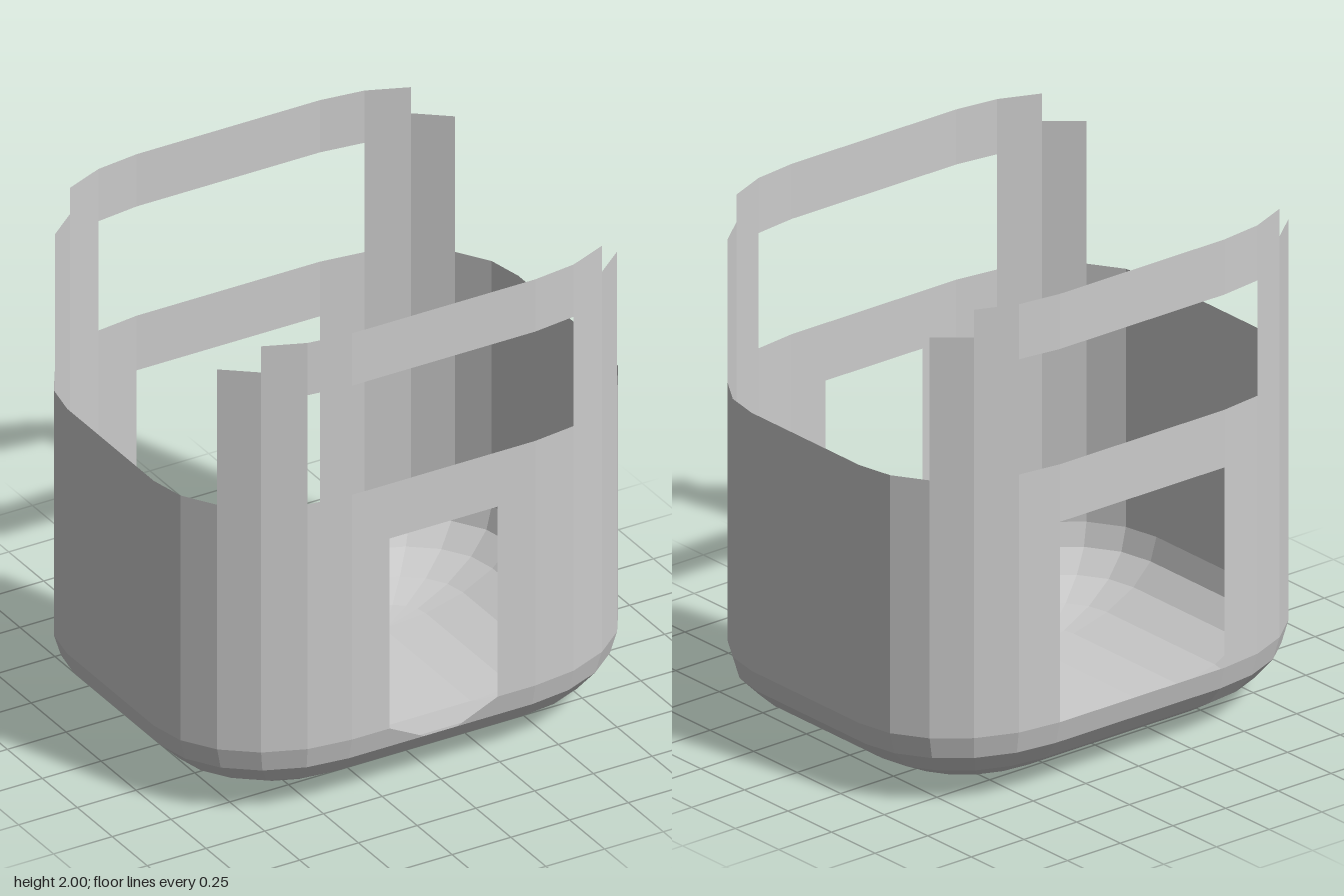
import * as THREE from 'three';

const CX = 0.39, CZ = 0.31;             // centres of the rounded corners
const RX = 0.57, RZ = 0.46, RY = 0.29;  // corner radii
const STEPS = 5;                        // facets per quarter round
const SILL = 1.32, DOOR_TOP = 1.09, DOOR_HALF = 0.23, NOTCH_HALF = 0.07;

// Rounded-rectangle ring, level 0 = full wall outline, level STEPS = floor edge
function ring(level) {
  const t = (level / STEPS) * Math.PI / 2;
  const r = Math.cos(t), y = RY * (1 - Math.sin(t)), points = [];
  for (let corner = 0; corner < 4; corner++) {
    const sx = corner === 0 || corner === 3 ? 1 : -1, sz = corner < 2 ? 1 : -1;
    for (let i = 0; i <= STEPS; i++) {
      const a = (corner + i / STEPS) * Math.PI / 2;
      points.push(new THREE.Vector3(sx * CX + RX * r * Math.cos(a), y, sz * CZ + RZ * r * Math.sin(a)));
    }
  }
  return points;
}

// Collects flat quads (corners counter-clockwise from outside) into one mesh
class Shell {
  constructor(name) { this.name = name; this.data = []; }
  quad(a, b, c, d) {
    for (const p of [a, b, c, a, c, d]) this.data.push(p.x, p.y, p.z);
  }
  // Upright panel between two outline points
  panel(p, q, y0, y1) {
    const at = (v, y) => new THREE.Vector3(v.x, y, v.z);
    this.quad(at(q, y0), at(p, y0), at(p, y1), at(q, y1));
  }
  mesh() {
    const geometry = new THREE.BufferGeometry();
    geometry.setAttribute('position', new THREE.Float32BufferAttribute(this.data, 3));
    geometry.computeVertexNormals();
    const mesh = new THREE.Mesh(geometry, new THREE.MeshStandardMaterial({
      color: 0xcccccc, flatShading: true, side: THREE.DoubleSide,
    }));
    mesh.name = this.name;
    return mesh;
  }
}

export function createModel() {
  const walls = new Shell('lowerWalls');
  const pillars = new Shell('cornerPillars');
  const rails = new Shell('windowTopRails');
  const base = new Shell('roundedBase');
  const floor = new Shell('floor');
  const rings = Array.from({ length: STEPS + 1 }, (_, k) => ring(k));
  const outline = rings[0], n = outline.length;
  const frontFlat = STEPS;              // index of the flat front segment

  for (let i = 0; i < n; i++) {
    const p = outline[i], q = outline[(i + 1) % n];
    const midX = Math.abs(p.x + q.x) / 2;
    const flatFront = i === frontFlat, flatBack = i === frontFlat + 2 * (STEPS + 1);

    // Lower walls, leaving the narrow front door and the wide back door
    if (flatFront) {
      const right = p.clone().setX(DOOR_HALF), left = p.clone().setX(-DOOR_HALF);
      walls.panel(p, right, RY, SILL);
      walls.panel(right, left, DOOR_TOP, SILL);
      walls.panel(left, q, RY, SILL);
    } else {
      walls.panel(p, q, flatBack ? DOOR_TOP : RY, SILL);
    }

    // Rails above the windows and stepped pillars beside them
    if (midX < 0.56) rails.panel(p, q, 1.78, 2);
    else if (midX < 0.72) pillars.panel(p, q, SILL, 2);
    else if (midX < 0.85) pillars.panel(p, q, SILL, 1.89);

    // Rounded base, with a tapered notch under the front door
    for (let k = 0; k < STEPS; k++) {
      const a = rings[k][i], b = rings[k][(i + 1) % n];
      const c = rings[k + 1][i], d = rings[k + 1][(i + 1) % n];
      if (flatFront && k === 0) {
        base.quad(c.clone().setX(NOTCH_HALF), c, a, a.clone().setX(DOOR_HALF));
        base.quad(d, d.clone().setX(-NOTCH_HALF), b.clone().setX(-DOOR_HALF), b);
      } else {
        base.quad(d, c, a, b);
      }
    }
  }

  // Flat floor inside the last ring
  const corner = (x, z) => new THREE.Vector3(x * CX, 0, z * CZ);
  floor.quad(corner(-1, -1), corner(1, -1), corner(1, 1), corner(-1, 1));

  const group = new THREE.Group();
  group.name = 'openCabinShell';
  for (const part of [walls, pillars, rails, base, floor]) group.add(part.mesh());
  return group;
}
